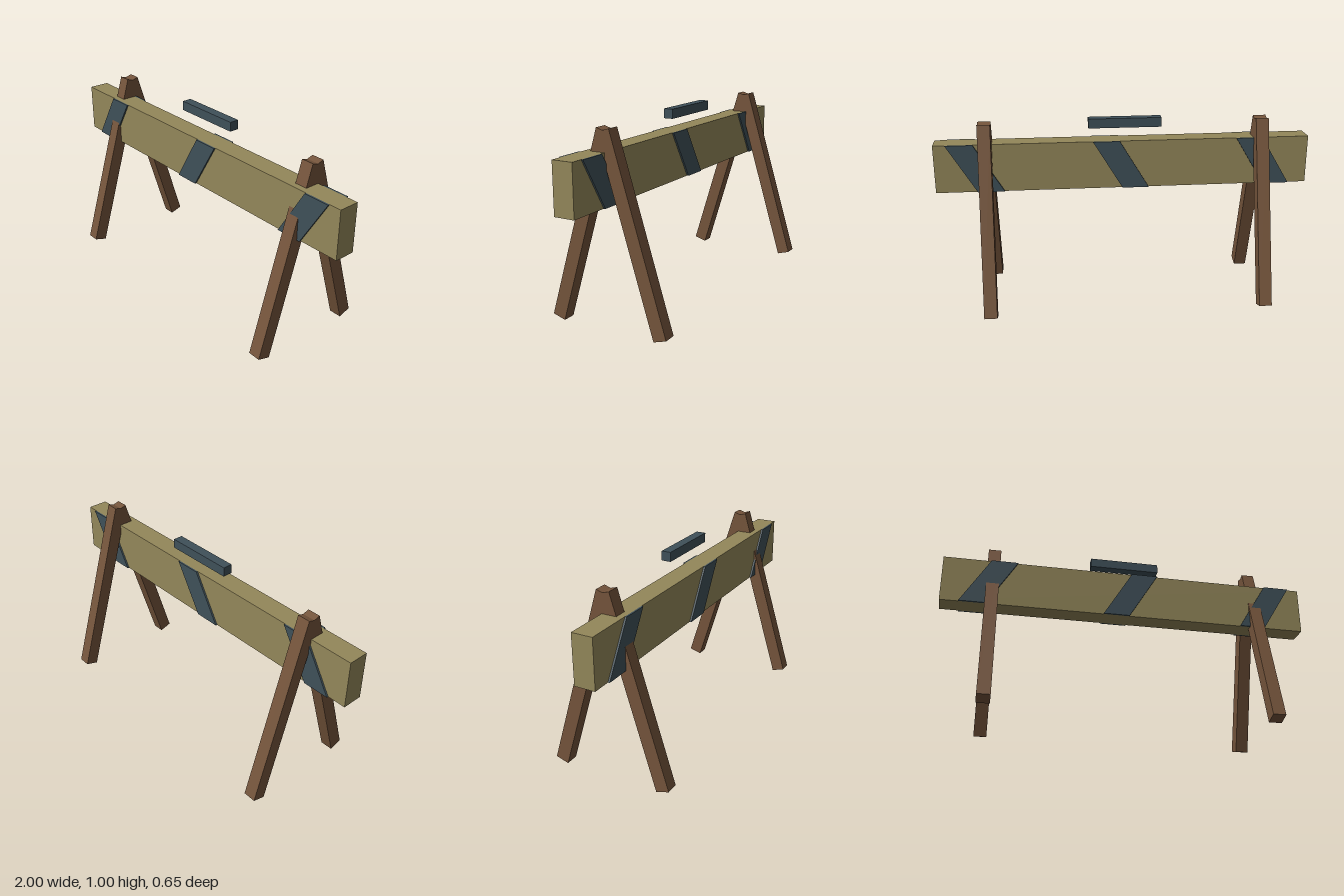
import * as THREE from 'three';

const wood = new THREE.MeshStandardMaterial({ color: 0x74543b });
wood.name = 'brown wood';
const olive = new THREE.MeshStandardMaterial({ color: 0x93875a });
olive.name = 'olive paint';
const slate = new THREE.MeshStandardMaterial({ color: 0x3f5059 });
slate.name = 'slate paint';

const BEAM = { bottom: 0.615, top: 0.873, back: -0.009, front: 0.101 };

function addBox(parent, name, size, position, material) {
  const mesh = new THREE.Mesh(new THREE.BoxGeometry(...size), material);
  mesh.name = name;
  mesh.position.set(...position);
  parent.add(mesh);
  return mesh;
}

// Slanted stripe plate, its back face at z = 0
function stripeGeometry() {
  const h = BEAM.top - BEAM.bottom;
  const shape = new THREE.Shape([
    new THREE.Vector2(-0.149, 0),
    new THREE.Vector2(-0.007, 0),
    new THREE.Vector2(0.149, h),
    new THREE.Vector2(0.007, h),
  ]);
  return new THREE.ExtrudeGeometry(shape, { depth: 0.0095, bevelEnabled: false });
}

export function createModel() {
  const model = new THREE.Group();
  model.name = 'barrier';

  // Cross beam
  const { bottom, top, back, front } = BEAM;
  addBox(model, 'beam', [2, top - bottom, front - back],
    [0, (top + bottom) / 2, (front + back) / 2], olive);

  // Stripes on both faces of the beam
  const stripe = stripeGeometry();
  for (const x of [-0.753, 0.017, 0.787]) {
    for (const [name, z] of [['frontStripe', front], ['backStripe', back - 0.0095]]) {
      const mesh = new THREE.Mesh(stripe, slate);
      mesh.name = name;
      mesh.position.set(x, bottom, z);
      model.add(mesh);
    }
  }

  // Splayed legs, crossing at the top of each trestle
  const topY = 0.975, footY = 0.0125, footZ = 0.293;
  const length = Math.hypot(topY - footY, footZ);
  const tilt = Math.atan2(footZ, topY - footY);
  for (const x of [-0.733, 0.73]) {
    const trestle = new THREE.Group();
    trestle.name = 'trestle';
    for (const side of [1, -1]) {
      const leg = addBox(trestle, side > 0 ? 'frontLeg' : 'backLeg',
        [0.068, length, 0.0715], [x, (topY + footY) / 2, side * footZ / 2], wood);
      leg.rotation.x = -side * tilt;
    }
    model.add(trestle);
  }

  // Floating top bar
  addBox(model, 'topBar', [0.384, 0.05, 0.051], [-0.002, 0.975, -0.001], slate);

  return model;
}
